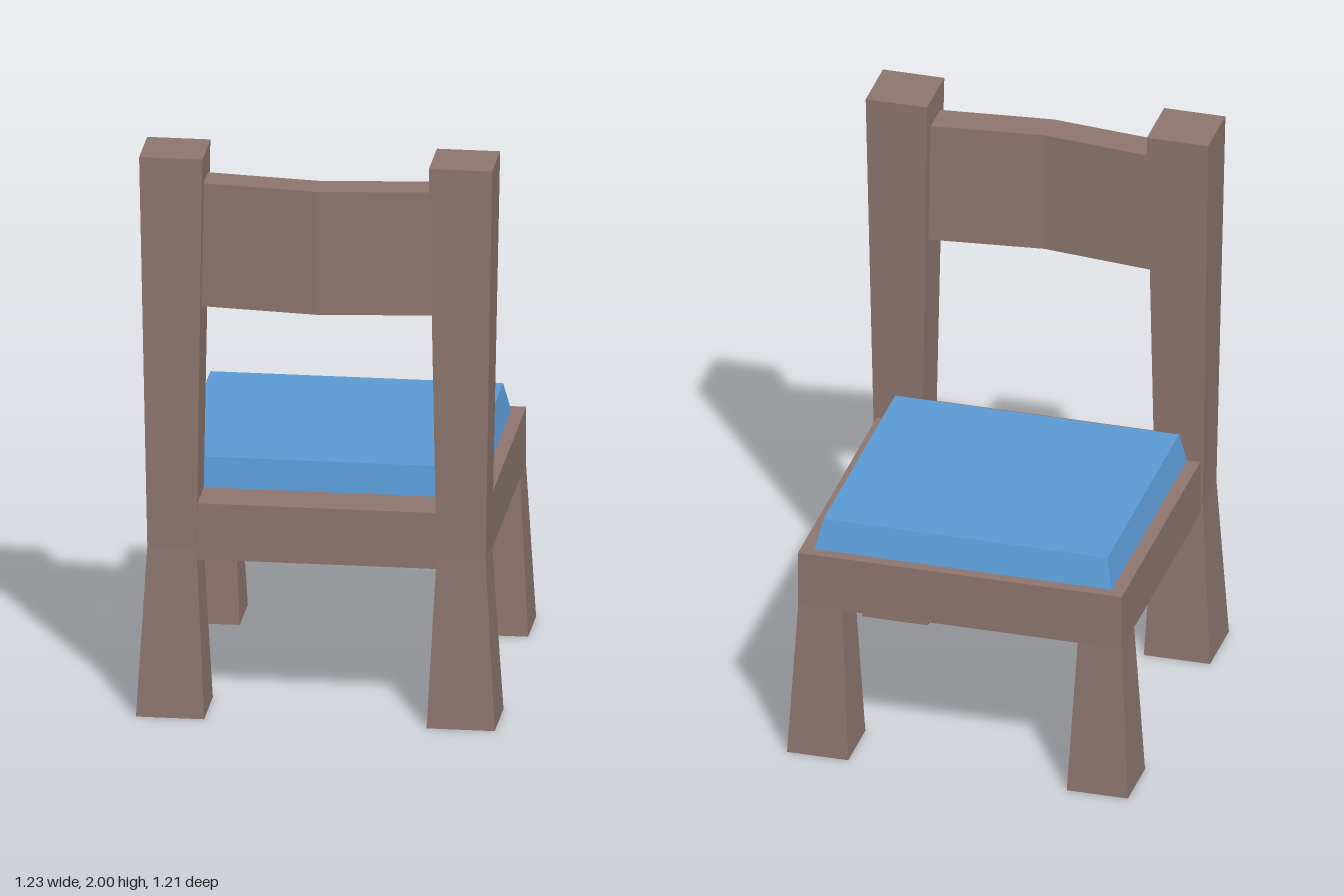
import * as THREE from 'three';

const wood = new THREE.MeshStandardMaterial({ color: 0x8d766e });
wood.name = 'brown wood';
const fabric = new THREE.MeshStandardMaterial({ color: 0x5b9bd5 });
fabric.name = 'blue fabric';

// Closed loft through rectangular sections [y, x0, x1, z0, z1], bottom to top
function loft(sections) {
  const pos = [];
  const rings = sections.map(([y, x0, x1, z0, z1]) => [[x0, y, z1], [x1, y, z1], [x1, y, z0], [x0, y, z0]]);
  const quad = (a, b, c, d) => pos.push(...a, ...b, ...c, ...a, ...c, ...d);
  for (let i = 0; i < rings.length - 1; i++) {
    for (let k = 0; k < 4; k++) {
      const n = (k + 1) % 4;
      quad(rings[i][k], rings[i][n], rings[i + 1][n], rings[i + 1][k]);
    }
  }
  const top = rings[rings.length - 1];
  quad(top[0], top[1], top[2], top[3]);
  quad(rings[0][3], rings[0][2], rings[0][1], rings[0][0]);
  const geo = new THREE.BufferGeometry();
  geo.setAttribute('position', new THREE.Float32BufferAttribute(pos, 3));
  geo.computeVertexNormals();
  return geo;
}

export function createModel() {
  const chair = new THREE.Group();
  chair.name = 'chair';
  const add = (name, geo, mat) => {
    const mesh = new THREE.Mesh(geo, mat);
    mesh.name = name;
    chair.add(mesh);
    return mesh;
  };

  // Seat frame and bevelled cushion
  add('seatFrame', loft([[0.56, -0.57, 0.57, -0.577, 0.573], [0.76, -0.57, 0.57, -0.577, 0.573]]), wood);
  add('cushion', loft([[0.755, -0.525, 0.525, -0.538, 0.402], [0.865, -0.5, 0.5, -0.507, 0.387]]), fabric);

  // Tall posts and short legs, both waisted at the seat
  for (const [side, s] of [['left', 1], ['right', -1]]) {
    const row = (y, a, b, z0, z1) => [y, Math.min(a * s, b * s), Math.max(a * s, b * s), z0, z1];
    add(side + 'Post', loft([
      row(0, 0.38, 0.613, 0.372, 0.608),
      row(0.6, 0.41, 0.578, 0.405, 0.576),
      row(2, 0.387, 0.603, 0.384, 0.6),
    ]), wood);
    add(side + 'ShortLeg', loft([
      row(0, 0.385, 0.6, -0.607, -0.392),
      row(0.565, 0.415, 0.569, -0.576, -0.419),
    ]), wood);
  }

  // Bowed back slat between the posts
  const plan = new THREE.Shape([[-0.46, -0.428], [-0.46, -0.547], [0, -0.595], [0.46, -0.547], [0.46, -0.428], [0, -0.479]]
    .map(([x, y]) => new THREE.Vector2(x, y)));
  const slat = new THREE.ExtrudeGeometry(plan, { depth: 0.44, bevelEnabled: false });
  slat.rotateX(-Math.PI / 2);
  slat.translate(0, 1.46, 0);
  add('backSlat', slat, wood);

  return chair;
}
